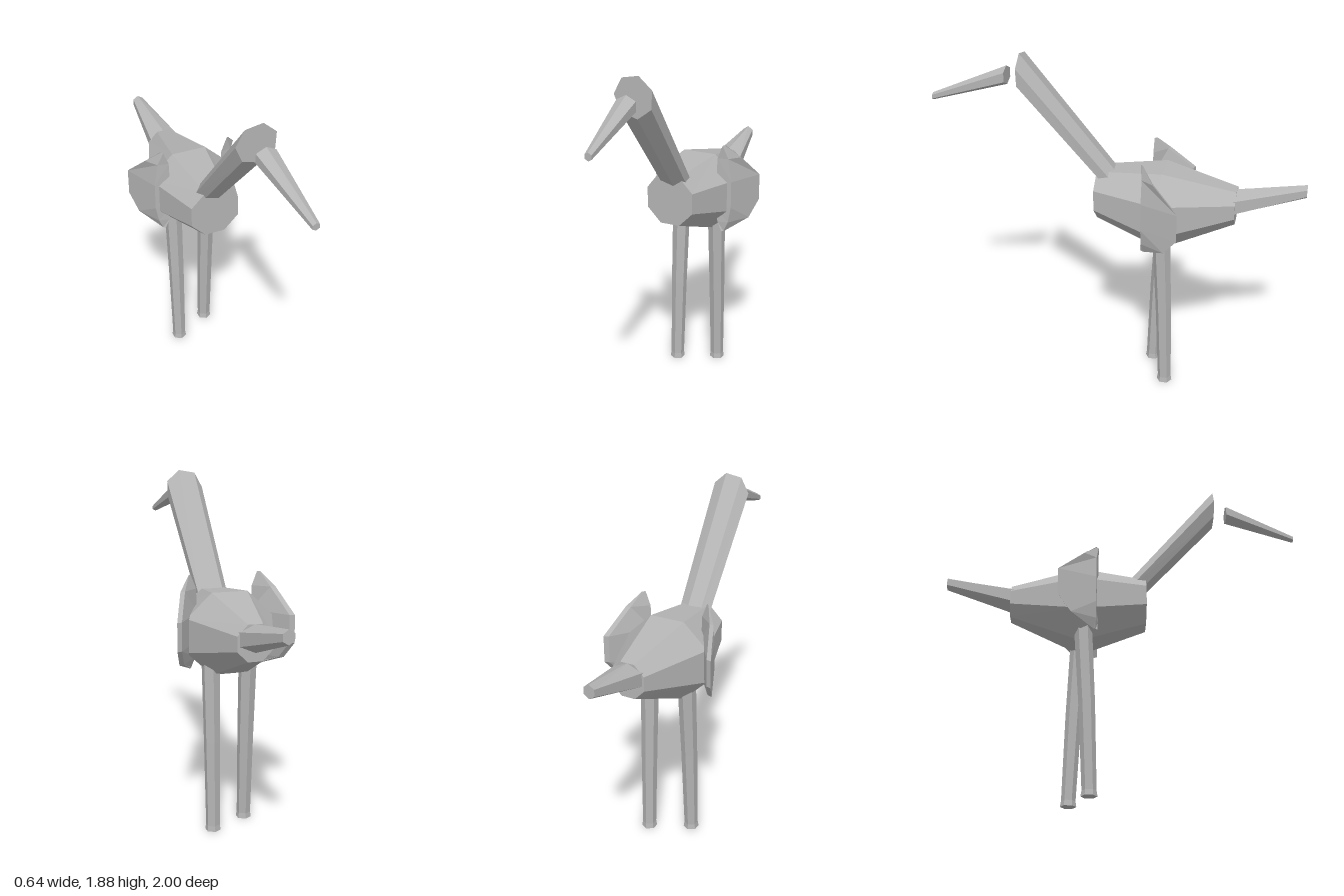
import * as THREE from 'three';

const grey = new THREE.MeshStandardMaterial({ color: 0xb4b4b4, flatShading: true });
grey.name = 'plain grey';

// Closed, capped skin over rings of equal point count; faces always turned outward.
function loft(name, rings) {
  const tris = [];
  const n = rings[0].length;
  for (let r = 0; r < rings.length - 1; r++) {
    for (let i = 0; i < n; i++) {
      const j = (i + 1) % n;
      const a = rings[r][i], b = rings[r][j], c = rings[r + 1][j], d = rings[r + 1][i];
      tris.push([a, b, c], [a, c, d]);
    }
  }
  const first = rings[0], last = rings[rings.length - 1];
  for (let i = 1; i < n - 1; i++) {
    tris.push([first[0], first[i + 1], first[i]], [last[0], last[i], last[i + 1]]);
  }
  const mid = new THREE.Vector3();
  rings.flat().forEach((p) => mid.add(p));
  mid.divideScalar(n * rings.length);
  let volume = 0;
  for (const [a, b, c] of tris) {
    volume += a.clone().sub(mid).dot(b.clone().sub(mid).cross(c.clone().sub(mid)));
  }
  const pos = [];
  for (const [a, b, c] of tris) {
    for (const p of volume < 0 ? [a, c, b] : [a, b, c]) pos.push(p.x, p.y, p.z);
  }
  const geo = new THREE.BufferGeometry();
  geo.setAttribute('position', new THREE.Float32BufferAttribute(pos, 3));
  geo.computeVertexNormals();
  const mesh = new THREE.Mesh(geo, grey);
  mesh.name = name;
  return mesh;
}

// Upright polygon facing z, with its first corner at the given angle in degrees.
function ringZ(sides, start, x, y, z, rx, ry) {
  return Array.from({ length: sides }, (_, i) => {
    const a = THREE.MathUtils.degToRad(start + (360 * i) / sides);
    return new THREE.Vector3(x + rx * Math.cos(a), y + ry * Math.sin(a), z);
  });
}

// Level hexagon with corners to the front and back.
function ringY(x, y, z, r) {
  return Array.from({ length: 6 }, (_, i) => {
    const a = (i * Math.PI) / 3;
    return new THREE.Vector3(x + r * Math.sin(a), y, z + r * Math.cos(a));
  });
}

export function createModel() {
  const bird = new THREE.Group();
  bird.name = 'bird';

  // Body: three octagons
  const k = 1 / Math.cos(Math.PI / 8);
  bird.add(loft('body', [
    ringZ(8, 22.5, 0, 1.125, 0.11, 0.135 * k, 0.137 * k),
    ringZ(8, 22.5, 0, 1.08, -0.25, 0.235 * k, 0.22 * k),
    ringZ(8, 22.5, 0, 1.117, -0.64, 0.093 * k, 0.094 * k),
  ]));

  // Tail
  bird.add(loft('tail', [
    ringZ(6, 90, 0.002, 1.13, -0.6, 0.1, 0.076),
    ringZ(6, 90, -0.025, 1.226, -1, 0.034, 0.037),
  ]));

  // Neck, cut off upright at the top
  bird.add(loft('neck', [
    ringZ(7, 23, 0, 1.167, 0, 0.088, 0.083),
    ringZ(7, 23, 0.025, 1.779, 0.515, 0.109, 0.108),
  ]));

  // Beak, floating ahead of the neck
  bird.add(loft('beak', [
    ringZ(6, 90, 0.032, 1.757, 0.595, 0.06, 0.05),
    ringZ(6, 90, 0.077, 1.625, 1, 0.021, 0.02),
  ]));

  // Wings: level slices with a blunt front and a thin swept-back edge
  // [height, inner front x, outer front x, back z]
  const slices = [
    [1.385, 0.184, 0.194, -0.17],
    [1.31, 0.155, 0.215, -0.235],
    [1.18, 0.15, 0.235, -0.372],
    [1.03, 0.15, 0.235, -0.372],
    [0.94, 0.16, 0.218, -0.3],
    [0.885, 0.184, 0.194, -0.18],
  ];
  for (const side of [1, -1]) {
    const rings = slices.map(([y, inner, outer, back], i) => {
      const end = i === 0 || i === slices.length - 1;
      const backX = end ? outer + 0.004 : 0.235 + (-0.17 - back) * 0.41;
      const thick = end ? 0.01 : 0.027;
      return [
        [inner, -0.157], [outer, -0.168], [backX, back], [backX - thick, back + 0.008],
      ].map(([x, z]) => new THREE.Vector3(side * x, y, z));
    });
    bird.add(loft(side > 0 ? 'leftWing' : 'rightWing', rings));
  }

  // Legs: leaning apart, slightly flared at the foot
  for (const [name, x, topZ, footZ] of [
    ['leftLeg', 0.107, -0.255, -0.296],
    ['rightLeg', -0.107, -0.24, -0.188],
  ]) {
    bird.add(loft(name, [
      ringY(x, 1, topZ, 0.05),
      ringY(x, 0.5, topZ + (footZ - topZ) * 0.6, 0.044),
      ringY(x, 0.03, footZ, 0.038),
      ringY(x, 0, footZ, 0.043),
    ]));
  }

  return bird;
}
